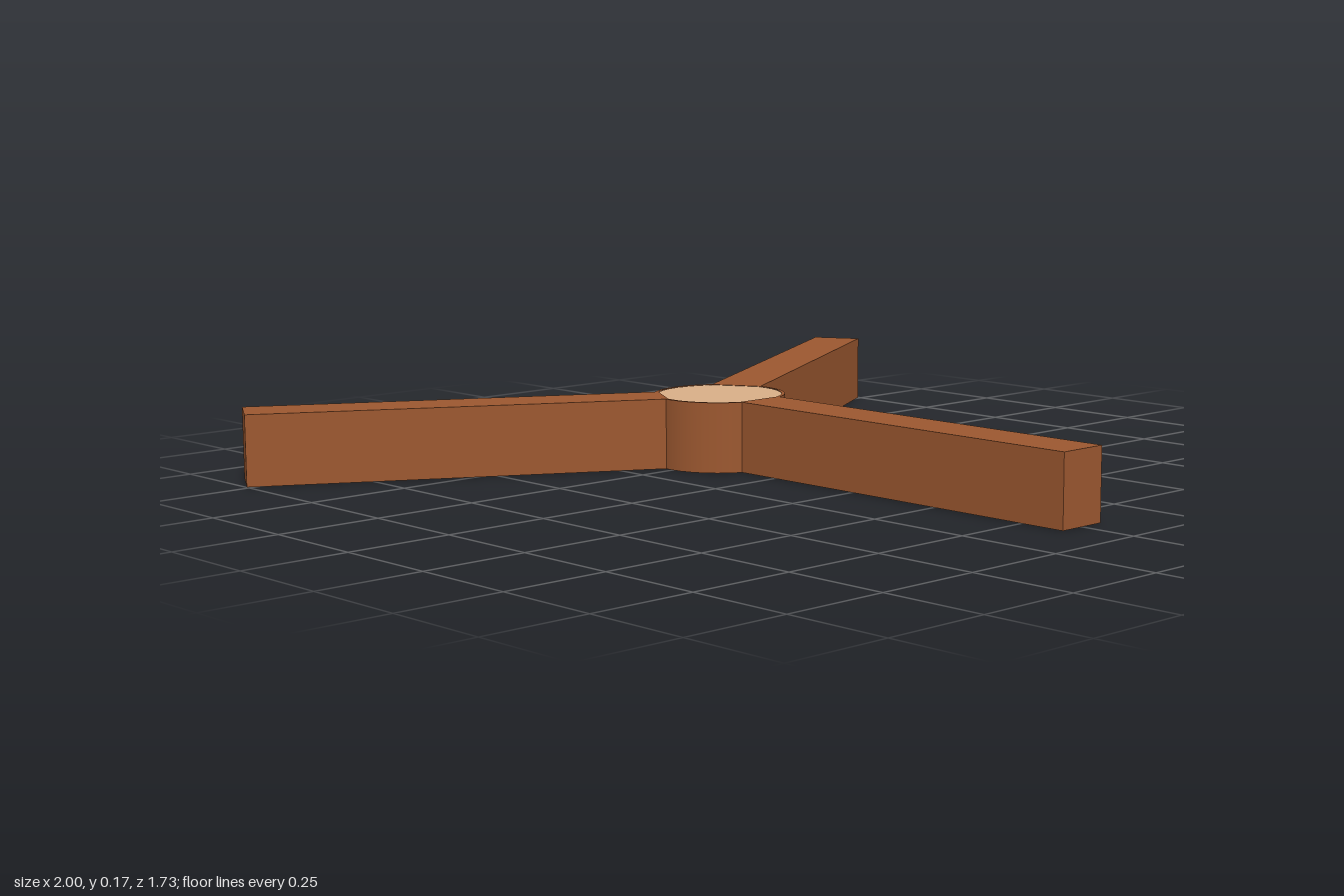
import * as THREE from 'three';

export function createModel() {
  const wood = new THREE.MeshStandardMaterial({ color: 0x9c5830, side: THREE.DoubleSide });
  wood.name = 'brown wood';
  const pale = new THREE.MeshStandardMaterial({ color: 0xdab088, side: THREE.DoubleSide });
  pale.name = 'pale wood';

  const height = 0.167, hubRadius = 0.157, rimInner = 0.149;
  const armWidth = 0.124, armStart = 0.137, armEnd = 1.118;

  const model = new THREE.Group();
  model.name = 'threeArmedBase';
  const add = (name, geometry, material, parent = model) => {
    const mesh = new THREE.Mesh(geometry, material);
    mesh.name = name;
    parent.add(mesh);
    return mesh;
  };

  // Everything radiates from the hub, which sits behind the centre
  const spider = new THREE.Group();
  spider.name = 'spider';
  spider.position.z = -0.255;
  model.add(spider);

  // Hollow hub, open underneath
  add('hubWall', new THREE.CylinderGeometry(hubRadius, hubRadius, height, 32, 1, true)
    .translate(0, height / 2, 0), wood, spider);
  add('hubRim', new THREE.RingGeometry(rimInner, hubRadius, 32, 1)
    .rotateX(-Math.PI / 2).translate(0, height, 0), wood, spider);

  // Pale disc closing the top of the hub
  add('hubCap', new THREE.CircleGeometry(rimInner, 32)
    .rotateX(-Math.PI / 2).translate(0, height - 0.001, 0), pale, spider);

  // Three square beams, 120 degrees apart
  const length = armEnd - armStart;
  ['frontArm', 'leftArm', 'rightArm'].forEach((name, i) => {
    const arm = add(name, new THREE.BoxGeometry(armWidth, height, length)
      .translate(0, height / 2, armStart + length / 2), wood, spider);
    arm.rotation.y = (i * Math.PI * 2) / 3;
  });

  return model;
}
